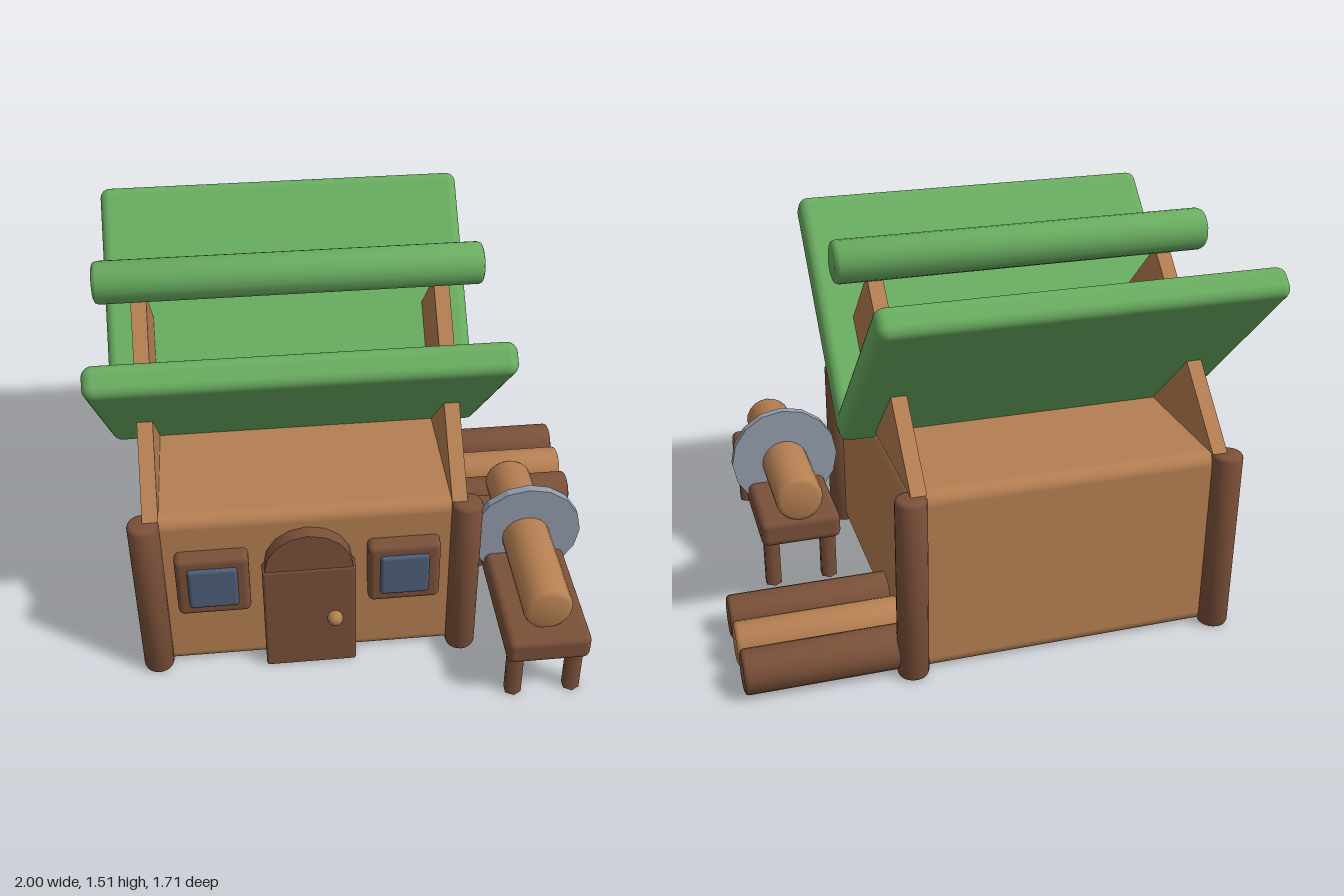
import * as THREE from 'three';
import { toCreasedNormals } from 'three/addons/utils/BufferGeometryUtils.js';
import { RoundedBoxGeometry } from 'three/addons/geometries/RoundedBoxGeometry.js';

export function createModel() {
  const root = new THREE.Group();
  root.name = 'sawmillHouse';

  const material = (name, color) => {
    const m = new THREE.MeshStandardMaterial({ color });
    m.name = name;
    return m;
  };
  const lightWood = material('lightWood', 0xb57f52);
  const darkWood = material('darkWood', 0x7a5039);
  const green = material('roofGreen', 0x69ac60);
  const steel = material('steel', 0x929cac);
  const glass = material('windowGlass', 0x4d5d78);

  const add = (name, geometry, mat, x, y, z, parent = root) => {
    const mesh = new THREE.Mesh(geometry, mat);
    mesh.name = name;
    mesh.position.set(x, y, z);
    parent.add(mesh);
    return mesh;
  };

  // Upright round bar with softly bevelled ends, centred on its origin
  const bar = (radius, length, bevel = 0.015, sides = 20) => {
    const h = length / 2;
    const profile = [
      [0, -h], [radius - bevel, -h], [radius - bevel * 0.3, -h + bevel * 0.3], [radius, -h + bevel],
      [radius, h - bevel], [radius - bevel * 0.3, h - bevel * 0.3], [radius - bevel, h], [0, h],
    ].map(([x, y]) => new THREE.Vector2(x, y));
    return toCreasedNormals(new THREE.LatheGeometry(profile, sides), 0.8);
  };
  const barX = (...args) => bar(...args).rotateZ(Math.PI / 2);
  const barZ = (...args) => bar(...args).rotateX(Math.PI / 2);

  const midX = -0.248, midZ = -0.122;

  // House body and corner posts
  add('houseBody', new RoundedBoxGeometry(1.236, 0.75, 1.24, 4, 0.05), lightWood, midX, 0.375, midZ);
  for (const sx of [-1, 1]) {
    for (const sz of [-1, 1]) {
      add('cornerPost', bar(0.06, 0.75), darkWood, midX + sx * 0.617, 0.375, midZ + sz * 0.62);
    }
  }

  // Triangular gable walls
  const triangle = new THREE.Shape();
  triangle.moveTo(-0.62, 0);
  triangle.lineTo(0.62, 0);
  triangle.lineTo(0, 0.62);
  triangle.closePath();
  const gable = new THREE.ExtrudeGeometry(triangle, { depth: 0.06, bevelEnabled: false });
  gable.translate(0, 0, -0.03).rotateY(Math.PI / 2);
  for (const s of [-1, 1]) add('gable', gable, lightWood, midX + s * 0.587, 0.75, midZ);

  // Two roof panels opening upward, and the ridge pole
  for (const s of [-1, 1]) {
    const panel = add('roofPanel', new RoundedBoxGeometry(1.5, 0.12, 1.032, 4, 0.04), green,
      -0.25, 1.098, midZ + s * 0.342);
    panel.rotation.x = -s * Math.PI / 4;
  }
  add('ridgePole', barX(0.083, 1.5, 0.02), green, -0.25, 1.432, midZ);

  // Arched door and knob
  const door = new THREE.Group();
  door.name = 'door';
  root.add(door);
  add('doorPanel', new RoundedBoxGeometry(0.364, 0.51, 0.08, 2, 0.012), darkWood, midX, 0.255, 0.52, door);
  add('doorArch', new THREE.CylinderGeometry(0.173, 0.173, 0.07, 16).rotateX(Math.PI / 2),
    darkWood, midX, 0.505, 0.52, door);
  add('doorKnob', new THREE.SphereGeometry(0.032, 12, 8), lightWood, -0.152, 0.257, 0.575, door);

  // Windows either side of the door
  for (const s of [-1, 1]) {
    const x = midX + s * 0.372;
    add('windowFrame', new RoundedBoxGeometry(0.284, 0.284, 0.08, 3, 0.025), darkWood, x, 0.454, 0.518);
    add('windowPane', new RoundedBoxGeometry(0.193, 0.193, 0.06, 2, 0.015), glass, x, 0.455, 0.542);
  }

  // Saw bench with log and blade
  const bench = new THREE.Group();
  bench.name = 'sawBench';
  root.add(bench);
  add('benchTop', new RoundedBoxGeometry(0.328, 0.115, 0.905, 3, 0.03), darkWood, 0.652, 0.268, 0.403, bench);
  for (const x of [0.535, 0.77]) {
    for (const z of [0.033, 0.785]) {
      add('benchLeg', new THREE.CylinderGeometry(0.036, 0.036, 0.23, 6), darkWood, x, 0.115, z, bench);
    }
  }
  add('benchLog', barZ(0.097, 0.825, 0.02), lightWood, 0.652, 0.41, 0.367, bench);
  const blade = new THREE.CylinderGeometry(0.224, 0.224, 0.035, 16).rotateX(Math.PI / 2);
  add('sawBlade', toCreasedNormals(blade, 0.3), steel, 0.652, 0.425, 0.325, bench);

  // Log pile against the side wall
  [-0.312, -0.498, -0.683].forEach((z, i) => {
    add('pileLog', barX(0.085, 0.66), i === 1 ? lightWood : darkWood, 0.67, 0.09, z);
  });

  return root;
}
